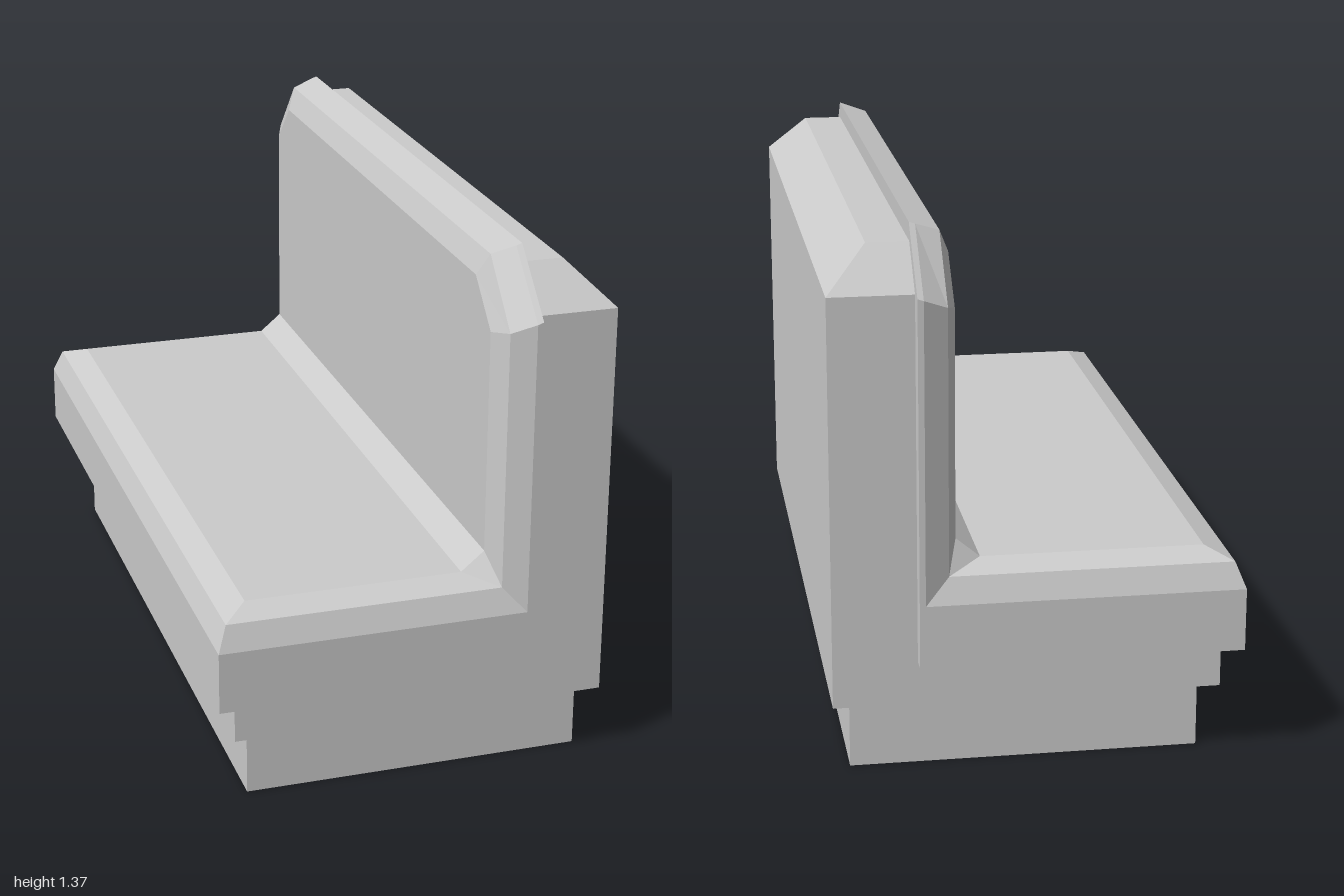
import * as THREE from 'three';

const material = new THREE.MeshStandardMaterial({ color: 0xcccccc, flatShading: true });

function addMesh(group, name, geometry) {
  const mesh = new THREE.Mesh(geometry, material);
  mesh.name = name;
  group.add(mesh);
}

// Box given by its x and y limits and half its length in z
function block(x0, x1, y0, y1, halfZ, ySegments = 1) {
  const geometry = new THREE.BoxGeometry(x1 - x0, y1 - y0, halfZ * 2, 1, ySegments, 1);
  return geometry.translate((x0 + x1) / 2, (y0 + y1) / 2, 0);
}

// Back panel whose top slopes in at the rear and at both ends
function backPanelGeometry() {
  const bottom = 0.18, shoulder = 1.215, top = 1.32;
  const geometry = block(0.3, 0.51, bottom, top, 0.955, 2);
  const p = geometry.attributes.position;
  for (let i = 0; i < p.count; i++) {
    if (p.getY(i) > top - 0.01) {
      if (p.getX(i) > 0.4) p.setX(i, 0.405);
      p.setZ(i, Math.sign(p.getZ(i)) * 0.85);
    } else if (p.getY(i) > bottom + 0.01) {
      p.setY(i, shoulder);
    }
  }
  geometry.computeVertexNormals();
  return geometry;
}

// One-piece L-shaped cushion: nested outlines, each mirrored in z, joined by bevels
function cushionGeometry() {
  // Per outline: seat front, crease start, crease end, back shoulder, back top
  const halves = [
    [[-0.51, 0.29, 1], [0.3, 0.29, 1], [0.3, 0.29, 1], [0.3, 1.215, 1], [0.3, 1.365, 0.845]],
    [[-0.51, 0.45, 1], [0.285, 0.45, 1], [0.285, 0.45, 1], [0.285, 1.21, 1], [0.285, 1.36, 0.845]],
    [[-0.485, 0.515, 0.975], [0.225, 0.515, 0.975], [0.225, 0.515, 0.975], [0.225, 1.185, 0.975], [0.225, 1.34, 0.83]],
    [[-0.42, 0.54, 0.91], [0.14, 0.54, 0.91], [0.2, 0.59, 0.91], [0.2, 1.17, 0.91], [0.2, 1.28, 0.8]],
  ];
  const rings = halves.map((half) => [
    ...half,
    ...half.map(([x, y, z]) => [x, y, -z]).reverse(),
  ]);
  const positions = [];
  const quad = (a, b, c, d) => {
    for (const tri of [[a, b, c], [a, c, d]]) {
      const [p, q, r] = tri.map((v) => new THREE.Vector3(...v));
      if (q.sub(p).cross(r.sub(p)).length() > 1e-8) positions.push(...tri.flat());
    }
  };

  // Bevel strips between neighbouring outlines
  for (let r = 0; r < rings.length - 1; r++) {
    const low = rings[r], high = rings[r + 1], n = low.length;
    for (let i = 0; i < n; i++) {
      const j = (i + 1) % n;
      quad(low[i], low[j], high[j], high[i]);
    }
  }

  // Sitting surface and hidden underside
  const inner = rings[rings.length - 1], outer = rings[0];
  for (let i = 0; i < 4; i++) {
    quad(inner[i], inner[i + 1], inner[8 - i], inner[9 - i]);
    quad(outer[9 - i], outer[8 - i], outer[i + 1], outer[i]);
  }

  const geometry = new THREE.BufferGeometry();
  geometry.setAttribute('position', new THREE.Float32BufferAttribute(positions, 3));
  geometry.computeVertexNormals();
  return geometry;
}

export function createModel() {
  const bench = new THREE.Group();
  bench.name = 'boothBench';
  addMesh(bench, 'plinth', block(-0.415, 0.465, 0, 0.18, 0.9));
  addMesh(bench, 'seatFrame', block(-0.46, 0.3, 0.18, 0.29, 0.955));
  addMesh(bench, 'backPanel', backPanelGeometry());
  addMesh(bench, 'cushion', cushionGeometry());
  return bench;
}
